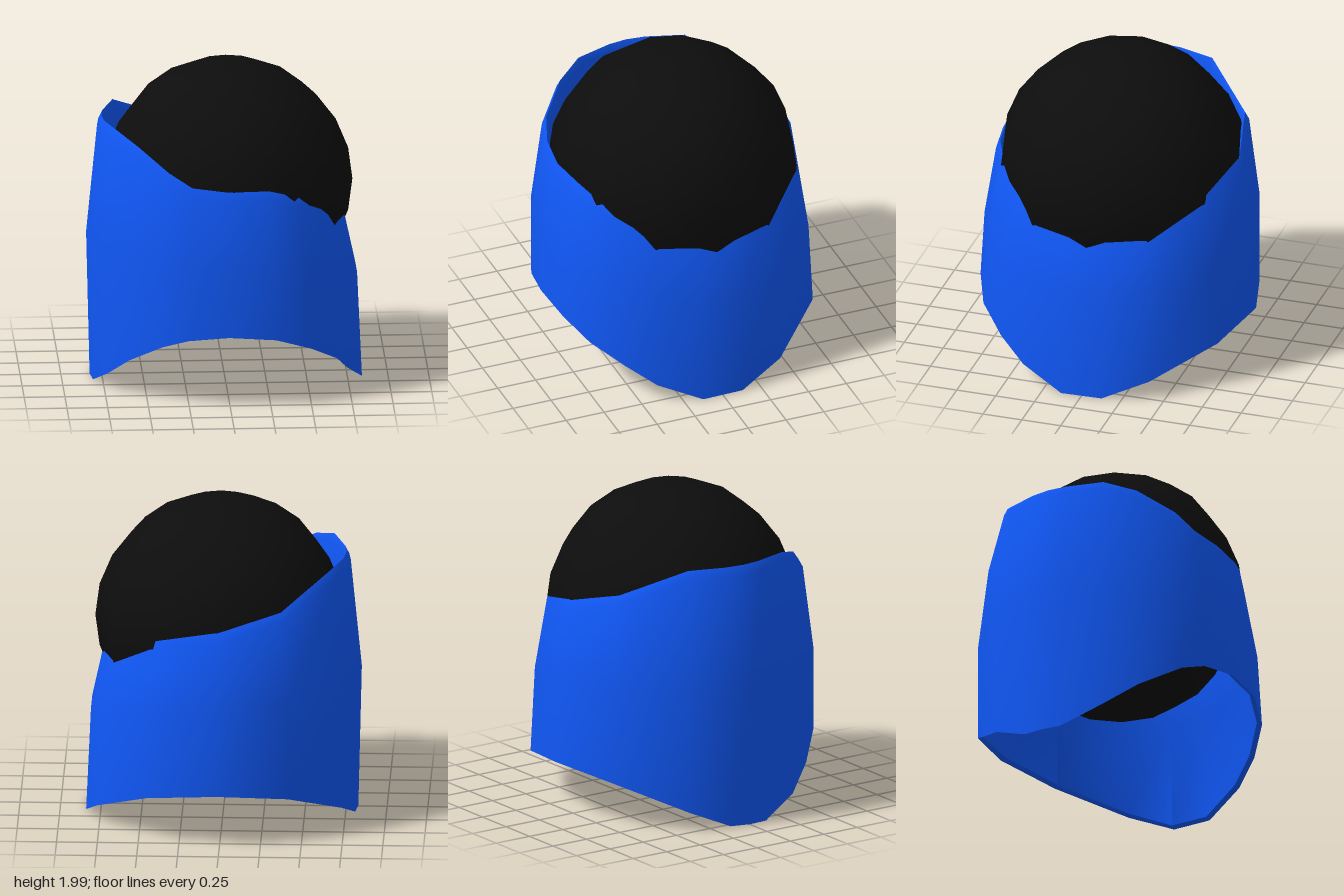
import * as THREE from 'three';
import { toCreasedNormals } from 'three/addons/utils/BufferGeometryUtils.js';

// Piecewise linear lookup through [position, value] pairs
function lookup(table, v) {
  if (v <= table[0][0]) return table[0][1];
  for (let i = 1; i < table.length; i++) {
    const [x0, y0] = table[i - 1], [x1, y1] = table[i];
    if (v <= x1) return THREE.MathUtils.lerp(y0, y1, (v - x0) / (x1 - x0));
  }
  return table[table.length - 1][1];
}

// Plan outline of the band as [x, z], running from the left side towards the front
const OUTLINE = [
  [0.84, 0.13], [0.76, 0.4], [0.67, 0.57], [0.5, 0.74], [0.28, 0.83], [-0.01, 0.86],
  [-0.26, 0.83], [-0.42, 0.77], [-0.62, 0.58], [-0.75, 0.39], [-0.83, 0.13], [-0.845, 0],
  [-0.83, -0.14], [-0.75, -0.4], [-0.42, -0.75], [0.02, -0.86], [0.45, -0.75],
  [0.76, -0.41], [0.84, -0.13],
];

// Height of the slanted upper rim, across x
const RIM = [
  [-0.72, 1.655], [-0.62, 1.6], [-0.46, 1.5], [-0.25, 1.39], [0, 1.37],
  [0.28, 1.365], [0.45, 1.33], [0.67, 1.2], [0.76, 1.15], [0.84, 1.11],
];

// Height of the lower edge, arched at front and back, along z
const HEM = [
  [-0.86, 0.35], [-0.74, 0.295], [-0.4, 0.13], [-0.13, 0.015],
  [0.13, 0.01], [0.39, 0.12], [0.57, 0.25], [0.74, 0.365], [0.86, 0.475],
];

// Closed cross-section of the band wall at one outline point: [scale, height]
function section(x, z) {
  const left = Math.max(x / 0.84, 0), right = Math.max(-x / 0.84, 0);
  const rim = lookup(RIM, x), hem = lookup(HEM, z);
  const mid = 0.9 - 0.23 * left * left + 0.02 * right;
  const bend = 0.905 - 0.04 * left + 0.015 * right;
  return [
    [1 - 0.025 * right, hem],
    [0.975 - 0.01 * left + 0.025 * right, mid],
    [bend, rim - 0.05],
    [bend - 0.03, rim],
    [bend - 0.05, rim - 0.04],
    [0.93, mid],
    [0.965 - 0.015 * right, hem + 0.015],
  ];
}

function bandGeometry() {
  const positions = [], index = [];
  const n = OUTLINE.length, rows = 7;
  for (const [x, z] of OUTLINE)
    for (const [s, y] of section(x, z)) positions.push(x * s, y, z * s);
  for (let i = 0; i < n; i++)
    for (let j = 0; j < rows; j++) {
      const i2 = (i + 1) % n, j2 = (j + 1) % rows;
      const a = i * rows + j, b = i2 * rows + j, c = i * rows + j2, d = i2 * rows + j2;
      index.push(a, c, b, b, c, d);
    }
  const geo = new THREE.BufferGeometry();
  geo.setAttribute('position', new THREE.Float32BufferAttribute(positions, 3));
  geo.setIndex(index);
  return toCreasedNormals(geo, 1.0);
}

export function createModel() {
  const model = new THREE.Group();
  model.name = 'wrappedBall';

  // Dark ball held inside the band
  const ball = new THREE.Mesh(
    new THREE.SphereGeometry(0.768, 12, 12),
    new THREE.MeshStandardMaterial({ color: 0x0d0d0d })
  );
  ball.name = 'ball';
  ball.position.set(0.02, 1.232, 0);
  model.add(ball);

  // Blue wrap with a slanted rim and arched lower edge
  const band = new THREE.Mesh(
    bandGeometry(),
    new THREE.MeshStandardMaterial({ color: 0x1057f5 })
  );
  band.name = 'band';
  model.add(band);

  return model;
}
